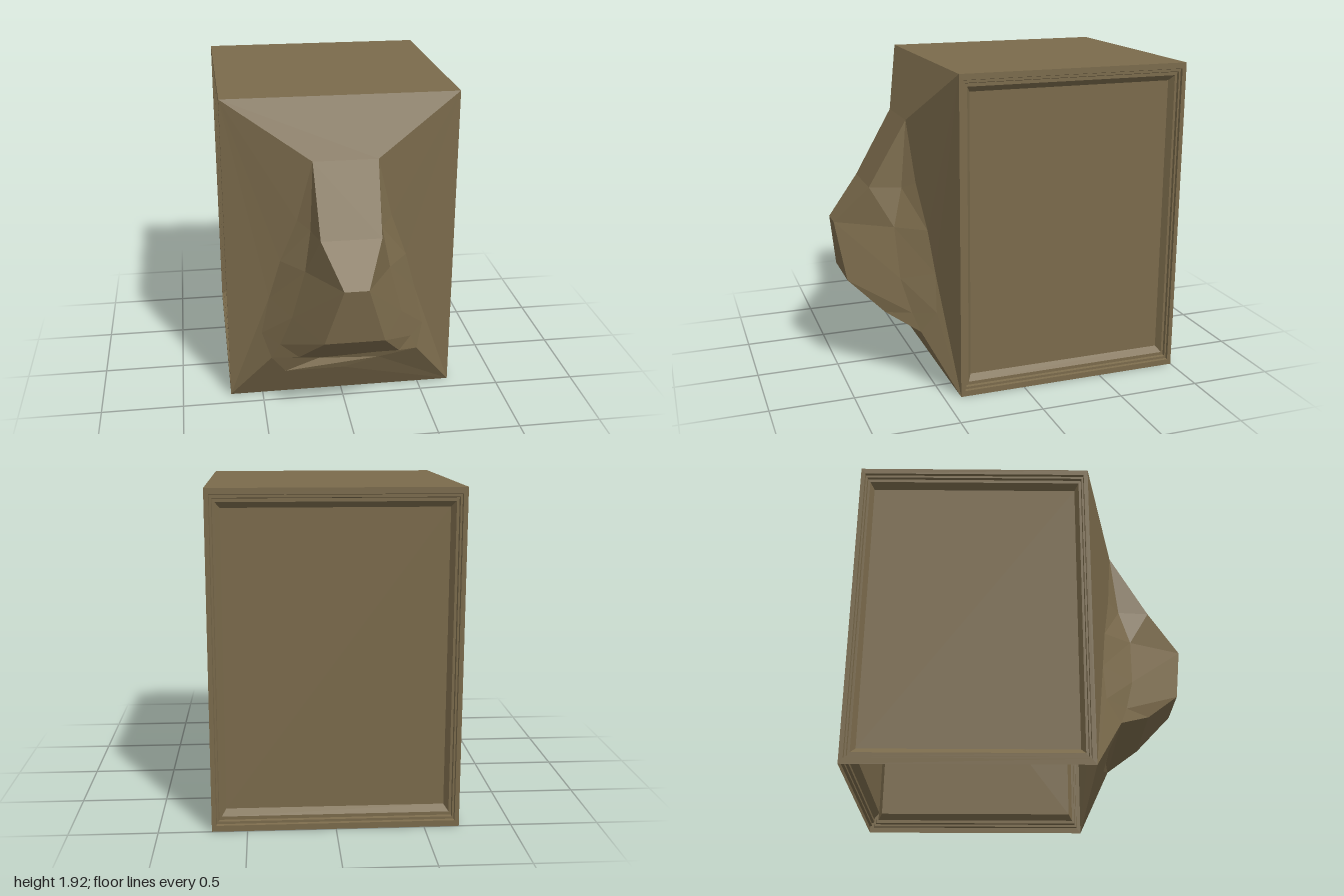
import * as THREE from 'three';

const W = 0.7, H = 1.92, FRONT = 0.4, BACK = -1;

// Flat-shaded geometry from a list of quads and triangles (counter-clockwise corners)
function facets(polys) {
  const pos = [];
  for (const p of polys) {
    for (let i = 1; i < p.length - 1; i++) pos.push(...p[0], ...p[i], ...p[i + 1]);
  }
  const g = new THREE.BufferGeometry();
  g.setAttribute('position', new THREE.Float32BufferAttribute(pos, 3));
  g.computeVertexNormals();
  return g;
}

const mirror = ([x, y, z]) => [-x, y, z];

// Triangles between two columns of points, both running from top to bottom
function strip(left, right) {
  const out = [];
  for (let i = 0; i < left.length - 1; i++) {
    out.push([left[i], left[i + 1], right[i + 1]], [left[i], right[i + 1], right[i]]);
  }
  return out;
}

// Wall with a stepped frame around a sunken panel: [inset fraction, depth]
function framedPanel() {
  const steps = [[0, 0], [0.036, 0], [0.04, 0.015], [0.055, 0.015], [0.06, 0.03], [0.08, 0.03], [0.115, 0.065]];
  const rings = steps.map(([inset, d]) => [[-1, -1], [1, -1], [1, 1], [-1, 1]]
    .map(([sx, sy]) => [sx * W * (1 - inset), sy * H / 2 * (1 - inset), -d]));
  const polys = [rings[rings.length - 1]];
  for (let r = 0; r < rings.length - 1; r++) {
    const o = rings[r], n = rings[r + 1];
    for (let k = 0; k < 4; k++) {
      const j = (k + 1) % 4;
      polys.push([o[k], o[j], n[j], n[k]]);
    }
  }
  return facets(polys);
}

export function createModel() {
  const group = new THREE.Group();
  const brown = new THREE.MeshStandardMaterial({ color: 0x7a6a4b, side: THREE.DoubleSide, flatShading: true });
  const add = (name, geometry) => {
    const m = new THREE.Mesh(geometry, brown);
    m.name = name;
    group.add(m);
    return m;
  };

  // Side and back walls; the underside stays open
  const panel = framedPanel();
  const midZ = (FRONT + BACK) / 2;
  for (const [name, x, z, turn] of [
    ['leftWall', W, midZ, Math.PI / 2],
    ['rightWall', -W, midZ, -Math.PI / 2],
    ['backWall', 0, BACK, Math.PI],
  ]) {
    const wall = add(name, panel);
    wall.position.set(x, H / 2, z);
    wall.rotation.y = turn;
  }

  // Flat top
  add('top', facets([[[-W, H, FRONT], [W, H, FRONT], [W, H, BACK], [-W, H, BACK]]]));

  // Columns of the front relief on the +x side, from the central ridge outwards
  const top = [W, H, FRONT], base = [W, 0, FRONT];
  const ridge = [[0.19, 1.585, 0.57], [0.175, 1.19, 0.8], [0.07, 0.965, 1], [0.175, 0.62, 0.95], [0.3, 0.435, 0.75], [0.45, 0.34, 0.57]];
  const flank = [ridge[0], [0.21, 1.18, 0.61], [0.25, 0.95, 0.67], [0.33, 0.65, 0.66], [0.4, 0.45, 0.61], ridge[5]];
  const valley = [ridge[0], [0.28, 1.22, 0.54], [0.38, 0.95, 0.5], [0.45, 0.7, 0.475], [0.5, 0.47, 0.485], ridge[5]];

  // Central strip: brow slope, snout front and underside
  const centre = [top, ...ridge];
  add('snout', facets(strip(centre.map(mirror), centre)));

  // Flanks and cheeks on both sides
  const flankPolys = [...strip(ridge, flank), ...strip(flank, valley)];
  const cheekPolys = [[top, valley[3], base]];
  for (let i = 0; i < 5; i++) cheekPolys.push([i < 3 ? top : base, valley[i], valley[i + 1]]);
  const flip = (polys) => polys.map((p) => p.map(mirror).reverse());
  add('leftFlank', facets(flankPolys));
  add('rightFlank', facets(flip(flankPolys)));
  add('leftCheek', facets(cheekPolys));
  add('rightCheek', facets(flip(cheekPolys)));

  // Lower slope with a shallow dent
  const rim = [mirror(base), base, ridge[5], mirror(ridge[5])];
  const dent = [[-0.36, 0.2, 0.5], [0, 0.2, 0.5], [0.22, 0.27, 0.525], [-0.15, 0.27, 0.49]];
  const slope = [dent];
  for (let k = 0; k < 4; k++) {
    const j = (k + 1) % 4;
    slope.push([rim[k], rim[j], dent[j]], [rim[k], dent[j], dent[k]]);
  }
  add('lowerSlope', facets(slope));

  return group;
}
